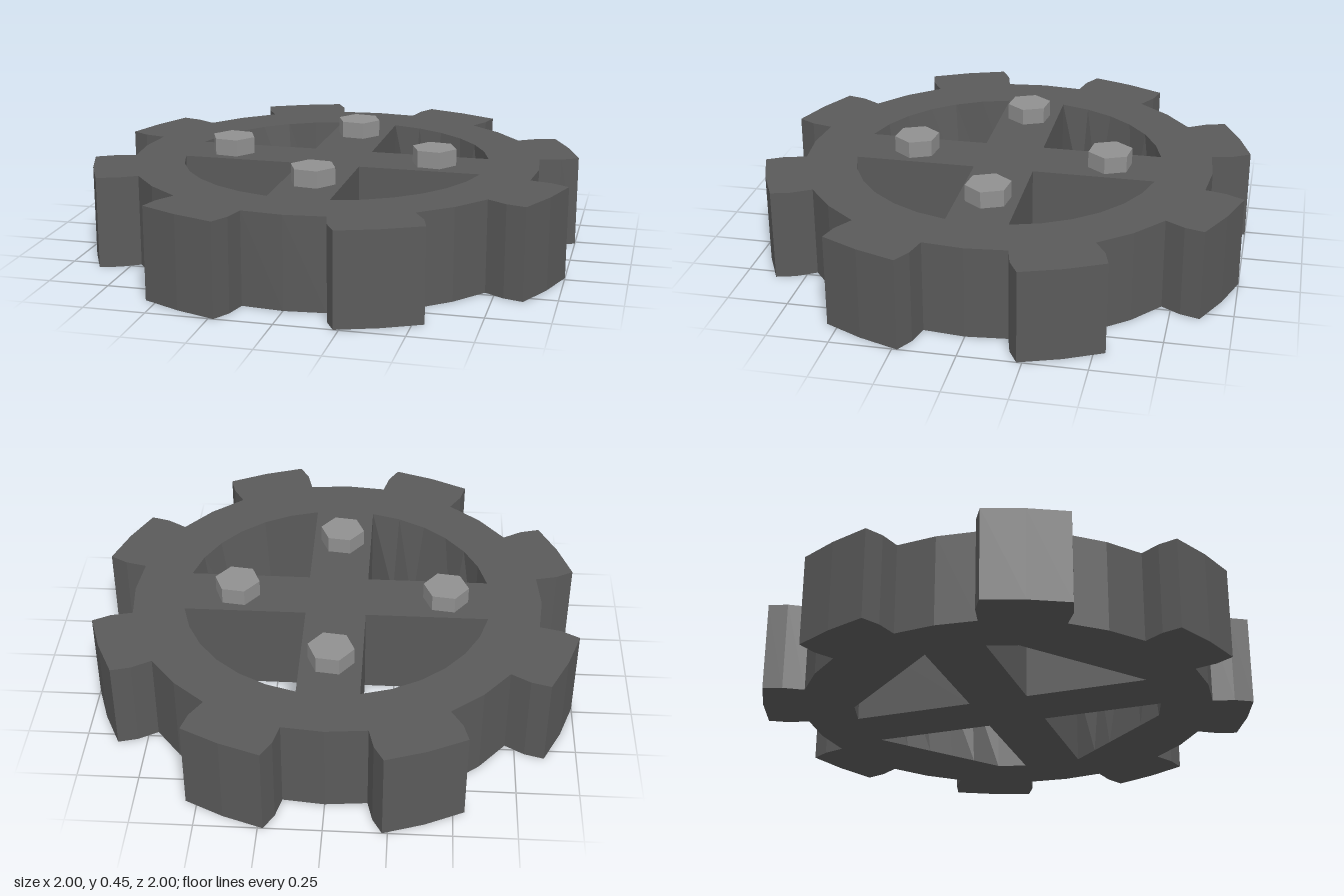
import * as THREE from 'three';

const RAD = Math.PI / 180;
const HEIGHT = 0.38;
const INNER = 0.643; // radius of the openings
const SPOKE = 0.125; // half width of a spoke

const polar = (r, deg) => new THREE.Vector2(r * Math.cos(deg * RAD), r * Math.sin(deg * RAD));

// Toothed outline: eight teeth with bevelled flanks
function gearOutline() {
  const points = [];
  const tooth = [
    [0.857, -11.25], [0.948, -11], [1.026, -9.6], [1.022, 0],
    [1.026, 9.6], [0.948, 11], [0.857, 11.25], [0.857, 22.5],
  ];
  for (let i = 0; i < 8; i++) {
    for (const [r, a] of tooth) points.push(polar(r, 22.5 + i * 45 + a));
  }
  return new THREE.Shape(points);
}

// Quarter opening between two spokes
function opening(quarter) {
  const points = [polar(SPOKE * Math.SQRT2, quarter * 90 + 45)];
  for (let k = 1; k <= 7; k++) points.push(polar(INNER, quarter * 90 + k * 11.25));
  return new THREE.Path(points);
}

function gearGeometry() {
  const shape = gearOutline();
  for (let q = 0; q < 4; q++) shape.holes.push(opening(q));
  const geometry = new THREE.ExtrudeGeometry(shape, { depth: HEIGHT, bevelEnabled: false });
  geometry.rotateX(Math.PI / 2);
  geometry.translate(0, HEIGHT, 0);

  // Flatten the lower edge of each opening's arc to a chord, so its wall slopes inward
  const p = geometry.attributes.position;
  const half = 28.125, middle = 39.375;
  for (let i = 0; i < p.count; i++) {
    const x = p.getX(i), z = p.getZ(i);
    if (p.getY(i) > 0.01 || Math.abs(Math.hypot(x, z) - INNER) > 0.005) continue;
    const angle = (Math.atan2(z, x) / RAD + 360) % 90;
    if (angle < 12 || angle > 67) continue;
    const s = Math.cos(half * RAD) / Math.cos((angle - middle) * RAD);
    p.setXYZ(i, x * s, 0, z * s);
  }
  geometry.computeVertexNormals();
  return geometry;
}

export function createModel() {
  const group = new THREE.Group();
  group.name = 'gearWheel';

  const darkSteel = new THREE.MeshStandardMaterial({ color: 0x5a5a5a });
  darkSteel.name = 'dark steel';
  const lightSteel = new THREE.MeshStandardMaterial({ color: 0x909090 });
  lightSteel.name = 'light steel';

  const wheel = new THREE.Mesh(gearGeometry(), darkSteel);
  wheel.name = 'toothedWheel';
  group.add(wheel);

  // Hexagonal bolt heads, one on each spoke
  const head = new THREE.CylinderGeometry(0.095, 0.095, 0.08, 6, 1, false, 83 * RAD).toNonIndexed();
  head.computeVertexNormals();
  [[0, -0.43], [0, 0.4], [0.42, 0], [-0.455, 0]].forEach(([x, z], i) => {
    const bolt = new THREE.Mesh(head, lightSteel);
    bolt.name = `bolt${i + 1}`;
    bolt.position.set(x, 0.41, z);
    group.add(bolt);
  });

  return group;
}
